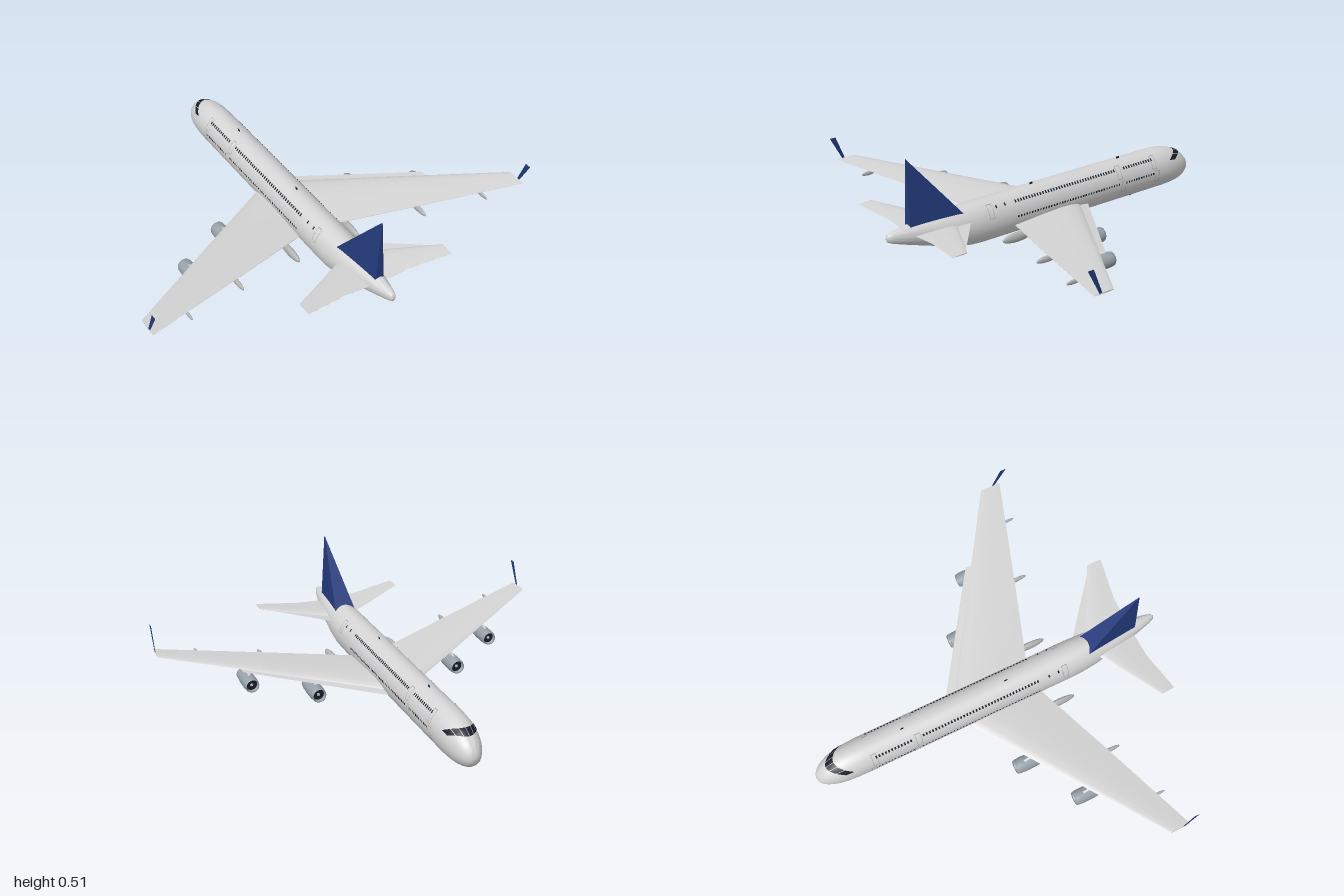
import * as THREE from 'three';
import { mergeGeometries, toCreasedNormals } from 'three/addons/utils/BufferGeometryUtils.js';
import { ConvexGeometry } from 'three/addons/geometries/ConvexGeometry.js';

const paint = (name, color, side = THREE.FrontSide) => new THREE.MeshStandardMaterial({ name, color, side });
const V = (x, y, z) => new THREE.Vector3(x, y, z);

// Fuselage stations: z, half width, bottom y, top y
const STATIONS = [
  [-0.912, 0.002, 0.088, 0.092], [-0.907, 0.02, 0.066, 0.112], [-0.895, 0.037, 0.049, 0.132],
  [-0.875, 0.051, 0.035, 0.155], [-0.85, 0.063, 0.025, 0.174], [-0.82, 0.073, 0.018, 0.191],
  [-0.78, 0.081, 0.014, 0.206], [-0.73, 0.086, 0.012, 0.216], [-0.66, 0.088, 0.012, 0.221],
  [0.42, 0.088, 0.012, 0.221], [0.48, 0.087, 0.016, 0.221], [0.56, 0.081, 0.032, 0.219],
  [0.65, 0.069, 0.058, 0.213], [0.74, 0.053, 0.086, 0.206], [0.82, 0.037, 0.111, 0.198],
  [0.88, 0.022, 0.131, 0.189], [0.905, 0.013, 0.143, 0.181], [0.913, 0.003, 0.158, 0.166],
];

function stationAt(z) {
  let i = 0;
  while (i < STATIONS.length - 2 && STATIONS[i + 1][0] < z) i++;
  const a = STATIONS[i], b = STATIONS[i + 1], t = (z - a[0]) / (b[0] - a[0]);
  return a.map((v, k) => v + (b[k] - v) * t);
}

// Point on the fuselage skin; angle 0 is the top, positive towards +x
function skinPoint(z, angle, lift = 0) {
  const [, w, lo, hi] = stationAt(z);
  return V((w + lift) * Math.sin(angle), (lo + hi) / 2 + ((hi - lo) / 2 + lift) * Math.cos(angle), z);
}

// Joins closed rings of points into a capped solid
function loft(rings, flip = false) {
  const n = rings[0].length, pts = rings.flat(), index = [];
  const tri = (a, b, c) => (flip ? index.push(a, c, b) : index.push(a, b, c));
  for (let i = 0; i < rings.length - 1; i++) for (let j = 0; j < n; j++) {
    const a = i * n + j, b = i * n + (j + 1) % n;
    tri(a, a + n, b);
    tri(b, a + n, b + n);
  }
  const last = (rings.length - 1) * n;
  for (let j = 1; j < n - 1; j++) {
    tri(0, j, j + 1);
    tri(last, last + j + 1, last + j);
  }
  const geo = new THREE.BufferGeometry().setFromPoints(pts);
  geo.setIndex(index);
  return toCreasedNormals(geo, 0.7);
}

// Thin patch lying on the skin, with z and angle given by a rule of (u, v)
function skinPatch(rule, nu = 1, nv = 1) {
  const pts = [], index = [];
  for (let i = 0; i <= nu; i++) for (let j = 0; j <= nv; j++) {
    const [z, angle] = rule(i / nu, j / nv);
    pts.push(skinPoint(z, angle, 0.0018));
  }
  for (let i = 0; i < nu; i++) for (let j = 0; j < nv; j++) {
    const a = i * (nv + 1) + j, b = a + nv + 1;
    index.push(a, b, a + 1, a + 1, b, b + 1);
  }
  const geo = new THREE.BufferGeometry().setFromPoints(pts);
  geo.setIndex(index);
  geo.computeVertexNormals();
  return geo;
}

function sidePatch(s, z0, z1, y0, y1) {
  const [, , lo, hi] = stationAt((z0 + z1) / 2);
  const angle = y => Math.acos((y - (lo + hi) / 2) / ((hi - lo) / 2));
  const [a, b] = s > 0 ? [angle(y1), angle(y0)] : [-angle(y0), -angle(y1)];
  return skinPatch((u, v) => [z0 + (z1 - z0) * u, a + (b - a) * v], 1, 3);
}

const FOIL = [[0, 0], [0.03, 0.4], [0.12, 0.8], [0.3, 1], [0.6, 0.7], [1, 0.06], [1, -0.06], [0.6, -0.6], [0.3, -0.85], [0.12, -0.65], [0.03, -0.3]];

// Wing from sections: x, leading z, trailing z, y, half thickness
const wing = (sections, s) => loft(sections.map(([x, le, te, y, t]) =>
  FOIL.map(([c, h]) => V(s * x, y + h * t, le + (te - le) * c))), s > 0);

// Flat plate through a fan of points
function plate(points) {
  const geo = new THREE.BufferGeometry().setFromPoints(points);
  const index = [];
  for (let i = 1; i < points.length - 1; i++) index.push(0, i, i + 1);
  geo.setIndex(index);
  geo.computeVertexNormals();
  return geo;
}

export function createModel() {
  const model = new THREE.Group();
  const white = paint('body grey white', 0xd4d4d4);
  const whiteSheet = paint('sheet grey white', 0xd4d4d4, THREE.DoubleSide);
  const blue = paint('tail blue', 0x243a7c);
  const blueSheet = paint('winglet blue', 0x243a7c, THREE.DoubleSide);
  const steel = paint('nacelle steel', 0x97a0a8);
  const fairingGrey = paint('fairing grey', 0xb2b4b4);
  const dark = paint('window dark', 0x1a1d29);
  const lineGrey = paint('door line grey', 0x93969a);
  const add = (name, geo, mat, parent = model) => {
    const mesh = new THREE.Mesh(geo, mat);
    mesh.name = name;
    parent.add(mesh);
    return mesh;
  };

  // Fuselage
  add('fuselage', loft(STATIONS.map(([z]) =>
    Array.from({ length: 40 }, (_, j) => skinPoint(z, j / 40 * Math.PI * 2)))), white);

  // Cockpit panes wrapping over the nose
  const panes = [];
  for (let i = 0; i < 6; i++) panes.push(skinPatch((u, v) => {
    const angle = -1.08 + (i + 0.05 + 0.9 * v) * 0.36;
    return [-0.852 + 0.075 * (angle / 1.08) ** 2 + 0.042 * u, angle];
  }, 6, 4));
  add('cockpitWindows', mergeGeometries(panes), dark);

  // Cabin windows in two rows, and door outlines
  const windows = [], doors = [];
  for (const s of [-1, 1]) {
    for (let z = -0.62; z < 0.25; z += 0.0165) {
      if (z < -0.425 || z > -0.38) windows.push(sidePatch(s, z, z + 0.008, 0.184, 0.195));
      if (z < -0.43 || z > -0.4) windows.push(sidePatch(s, z, z + 0.008, 0.117, 0.127));
    }
    for (const z of [0.3, 0.35]) windows.push(sidePatch(s, z, z + 0.008, 0.184, 0.195));
    for (const [z, y] of [[-0.41, 0.145], [-0.64, 0.145], [0.375, 0.145], [-0.43, 0.075], [-0.655, 0.075]]) {
      const w = 0.026, h = 0.06, t = 0.002;
      doors.push(sidePatch(s, z, z + t, y, y + h), sidePatch(s, z + w, z + w + t, y, y + h),
        sidePatch(s, z, z + w, y, y + t), sidePatch(s, z, z + w, y + h - t, y + h));
    }
  }
  add('cabinWindows', mergeGeometries(windows), dark);
  add('doorOutlines', mergeGeometries(doors), lineGrey);

  // Aerials
  for (const [y, z] of [[0.222, 0.1], [0.222, -0.45], [0.008, -0.54]])
    add('aerial', new THREE.BoxGeometry(0.003, 0.016, 0.016), dark).position.set(0, y, z);

  // Tail fin: a tapering wedge, broad at the front
  add('tailFin', new ConvexGeometry([V(0, 0.512, 0.797), V(0.022, 0.19, 0.797), V(-0.022, 0.19, 0.797),
    V(0.052, 0.195, 0.525), V(-0.052, 0.195, 0.525)]), blue);

  for (const s of [-1, 1]) {
    const side = new THREE.Group();
    side.name = s > 0 ? 'leftSide' : 'rightSide';
    model.add(side);

    // Main wing and tailplane
    add('wing', wing([[0.04, -0.166, 0.245, 0.075, 0.021], [0.088, -0.135, 0.26, 0.078, 0.02],
      [0.5, 0.133, 0.4, 0.115, 0.011], [1, 0.46, 0.565, 0.16, 0.004]], s), white, side);
    add('tailplane', wing([[0.02, 0.55, 0.785, 0.153, 0.009], [0.17, 0.63, 0.785, 0.164, 0.007],
      [0.38, 0.745, 0.82, 0.182, 0.003]], s), white, side);

    // Winglet blade
    add('winglet', plate([V(s * 0.999, 0.16, 0.52), V(s * 0.999, 0.16, 0.535), V(s * 0.999, 0.28, 0.6),
      V(s * 0.999, 0.28, 0.568)]), blueSheet, side);

    // Engines with dark intake, exhaust and cones, hung on pylons
    for (const [x, y, z, r, wy] of [[0.365, 0.05, -0.03, 1, 0.1], [0.635, 0.075, 0.148, 0.97, 0.125]]) {
      const engine = new THREE.Group();
      engine.name = 'engine';
      engine.position.set(s * x, y, z);
      engine.scale.setScalar(r);
      side.add(engine);
      const shell = [[0.027, 0.02], [0.03, 0.004], [0.033, 0], [0.036, 0.01], [0.038, 0.04], [0.037, 0.1],
        [0.032, 0.155], [0.03, 0.157], [0.028, 0.145]].map(p => new THREE.Vector2(...p));
      add('nacelle', new THREE.LatheGeometry(shell, 24).rotateX(Math.PI / 2), steel, engine);
      add('engineCore', new THREE.CylinderGeometry(0.029, 0.029, 0.13, 24).rotateX(Math.PI / 2), dark, engine).position.z = 0.083;
      add('spinner', new THREE.ConeGeometry(0.009, 0.016, 16).rotateX(-Math.PI / 2), steel, engine).position.z = 0.011;
      add('exhaustCone', new THREE.ConeGeometry(0.014, 0.03, 16).rotateX(Math.PI / 2), steel, engine).position.z = 0.162;
      const pylon = [[0.03, 0.03], [0.15, 0.028], [0.21, wy - y], [0.08, wy - y]];
      add('pylon', new ConvexGeometry(pylon.flatMap(([pz, py]) => [V(0.005, py, pz), V(-0.005, py, pz)])), white, engine);
    }

    // Flap track fairings
    for (const [x, y, z, len, w, h] of [[0.165, 0.063, 0.31, 0.17, 0.016, 0.025],
      [0.5, 0.1, 0.4, 0.13, 0.01, 0.016], [0.8, 0.132, 0.505, 0.08, 0.006, 0.011]]) {
      const fairing = add('flapFairing', new THREE.SphereGeometry(1, 14, 10).rotateX(Math.PI / 2), fairingGrey, side);
      fairing.scale.set(w, h, len / 2);
      fairing.position.set(s * x, y, z);
    }
  }

  // Root extensions on the left leading edges
  add('wingRootExtension', plate([V(0.08, 0.07, -0.19), V(0.08, 0.078, -0.13), V(0.66, 0.129, 0.245), V(0.66, 0.129, 0.205)]), whiteSheet);
  add('tailplaneRootExtension', plate([V(0.075, 0.157, 0.505), V(0.075, 0.157, 0.585), V(0.36, 0.18, 0.74), V(0.27, 0.172, 0.672)]), whiteSheet);
  return model;
}
